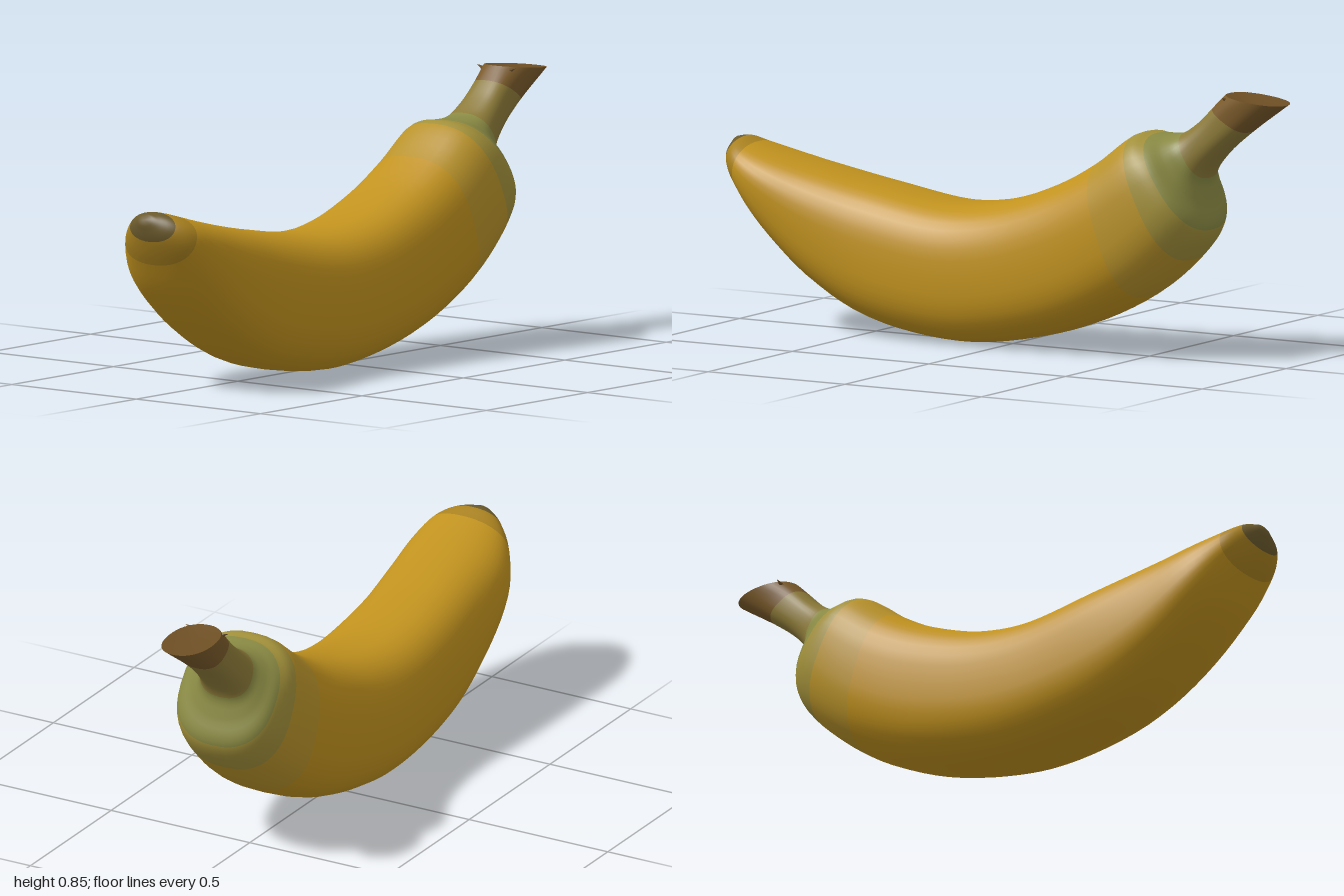
import * as THREE from 'three';

// Cross-sections from blossom tip to stem:
// [top z, top y, top x, bottom z, bottom y, bottom x, half width, squareness]
const SECTIONS = [
  [0.985, 0.585, 0.03, 1.0, 0.55, 0.03, 0.03, 2],
  [0.95, 0.59, 0.04, 0.985, 0.5, 0.04, 0.09, 2.1],
  [0.9, 0.577, 0.05, 0.94, 0.42, 0.02, 0.14, 2.2],
  [0.8, 0.55, 0.04, 0.85, 0.3, 0.0, 0.175, 2.4],
  [0.65, 0.515, 0.02, 0.68, 0.155, 0.0, 0.188, 2.6],
  [0.45, 0.475, 0, 0.47, 0.05, 0, 0.195, 2.7],
  [0.2, 0.44, 0, 0.2, 0.005, 0, 0.2, 2.7],
  [0.0, 0.46, 0, -0.02, 0.018, 0, 0.2, 2.7],
  [-0.2, 0.53, 0, -0.27, 0.08, 0, 0.2, 2.7],
  [-0.35, 0.615, 0, -0.5, 0.19, 0, 0.2, 2.6],
  [-0.47, 0.705, 0, -0.66, 0.32, 0, 0.192, 2.5],
  [-0.53, 0.71, 0, -0.73, 0.42, 0, 0.17, 2.4],
  [-0.58, 0.71, -0.01, -0.715, 0.51, -0.01, 0.125, 2.3],
  [-0.63, 0.72, -0.015, -0.71, 0.58, -0.015, 0.092, 2.4],
  [-0.69, 0.76, -0.015, -0.765, 0.655, -0.015, 0.076, 2.6],
  [-0.74, 0.81, -0.015, -0.86, 0.735, -0.015, 0.072, 2.6],
  [-0.78, 0.852, -0.02, -0.995, 0.83, -0.01, 0.08, 2.2],
];

// Skin regions: name, last section, colour
const REGIONS = [
  ['blossomTip', 1, 0x6b5a2c],
  ['tipBlend', 2, 0xa9811f],
  ['body', 9, 0xc1921e],
  ['shoulder', 10, 0xb8922a],
  ['shoulderBlend', 11, 0xa2903a],
  ['neck', 13, 0x8a8a44],
  ['stem', 15, 0x8c7a38],
  ['stemEnd', 16, 0x7a5a2a],
];

const SIDES = 40;
const STEPS = 5; // rings per section

function curve(pick) {
  return new THREE.CatmullRomCurve3(
    SECTIONS.map((s) => new THREE.Vector3(...pick(s))), false, 'catmullrom', 0.5);
}

// Positions of all rings plus the closing point of the blossom tip
function loftPositions() {
  const top = curve((s) => [s[2], s[1], s[0]]);
  const bottom = curve((s) => [s[5], s[4], s[3]]);
  const size = curve((s) => [s[6], s[7], 0]);
  const rings = (SECTIONS.length - 1) * STEPS;
  const positions = [];
  const p = new THREE.Vector3();
  for (let i = 0; i <= rings; i++) {
    const t = i / rings;
    const a = top.getPoint(t), b = bottom.getPoint(t), s = size.getPoint(t);
    for (let j = 0; j < SIDES; j++) {
      const angle = (j / SIDES) * Math.PI * 2;
      const bend = (v) => Math.sign(v) * Math.pow(Math.abs(v), 2 / s.y);
      p.lerpVectors(b, a, (1 + bend(Math.sin(angle))) / 2);
      positions.push(p.x + s.x * bend(Math.cos(angle)), p.y, p.z);
    }
  }
  positions.push(0.03, 0.57, 1.0);
  return positions;
}

// Triangles between two rings
function skinIndex(from, to) {
  const index = [];
  for (let i = from; i < to; i++) {
    for (let j = 0; j < SIDES; j++) {
      const k = (j + 1) % SIDES;
      const a = i * SIDES + j, b = i * SIDES + k;
      index.push(a, a + SIDES, b, b, a + SIDES, b + SIDES);
    }
  }
  return index;
}

function makeMesh(name, geometry, color) {
  const mesh = new THREE.Mesh(geometry,
    new THREE.MeshStandardMaterial({ color, side: THREE.DoubleSide }));
  mesh.name = name;
  return mesh;
}

export function createModel() {
  const group = new THREE.Group();
  group.name = 'banana';

  const positions = loftPositions();
  const rings = (SECTIONS.length - 1) * STEPS;
  const tipCentre = positions.length / 3 - 1;
  const tipFan = [];
  for (let j = 0; j < SIDES; j++) tipFan.push(tipCentre, j, (j + 1) % SIDES);

  // One smooth skin, so the normals run on across the regions
  const whole = new THREE.BufferGeometry();
  whole.setAttribute('position', new THREE.Float32BufferAttribute(positions, 3));
  whole.setIndex([...tipFan, ...skinIndex(0, rings)]);
  whole.computeVertexNormals();

  let start = 0;
  for (const [name, section, color] of REGIONS) {
    const end = section * STEPS;
    const part = new THREE.BufferGeometry();
    part.setAttribute('position', whole.getAttribute('position'));
    part.setAttribute('normal', whole.getAttribute('normal'));
    part.setIndex([...(start === 0 ? tipFan : []), ...skinIndex(start, end)]);
    group.add(makeMesh(name, part, color));
    start = end;
  }

  // Slightly sunken cut face of the stem
  const rim = positions.slice(rings * SIDES * 3, (rings + 1) * SIDES * 3);
  const capIndex = [];
  for (let j = 0; j < SIDES; j++) capIndex.push(SIDES, (j + 1) % SIDES, j);
  const cap = new THREE.BufferGeometry();
  cap.setAttribute('position',
    new THREE.Float32BufferAttribute([...rim, -0.015, 0.828, -0.87], 3));
  cap.setIndex(capIndex);
  cap.computeVertexNormals();
  group.add(makeMesh('stemCut', cap, 0x6e4f24));

  // Torn corners on the rim of the stem
  for (const side of [-1, 1]) {
    const shred = new THREE.ConeGeometry(0.014, 0.05, 5);
    const mesh = makeMesh('stemShred', shred, 0x6e4f24);
    mesh.position.set(-0.02 + side * 0.055, 0.838, -0.8);
    mesh.rotation.z = -side * 1.2;
    group.add(mesh);
  }
  return group;
}
